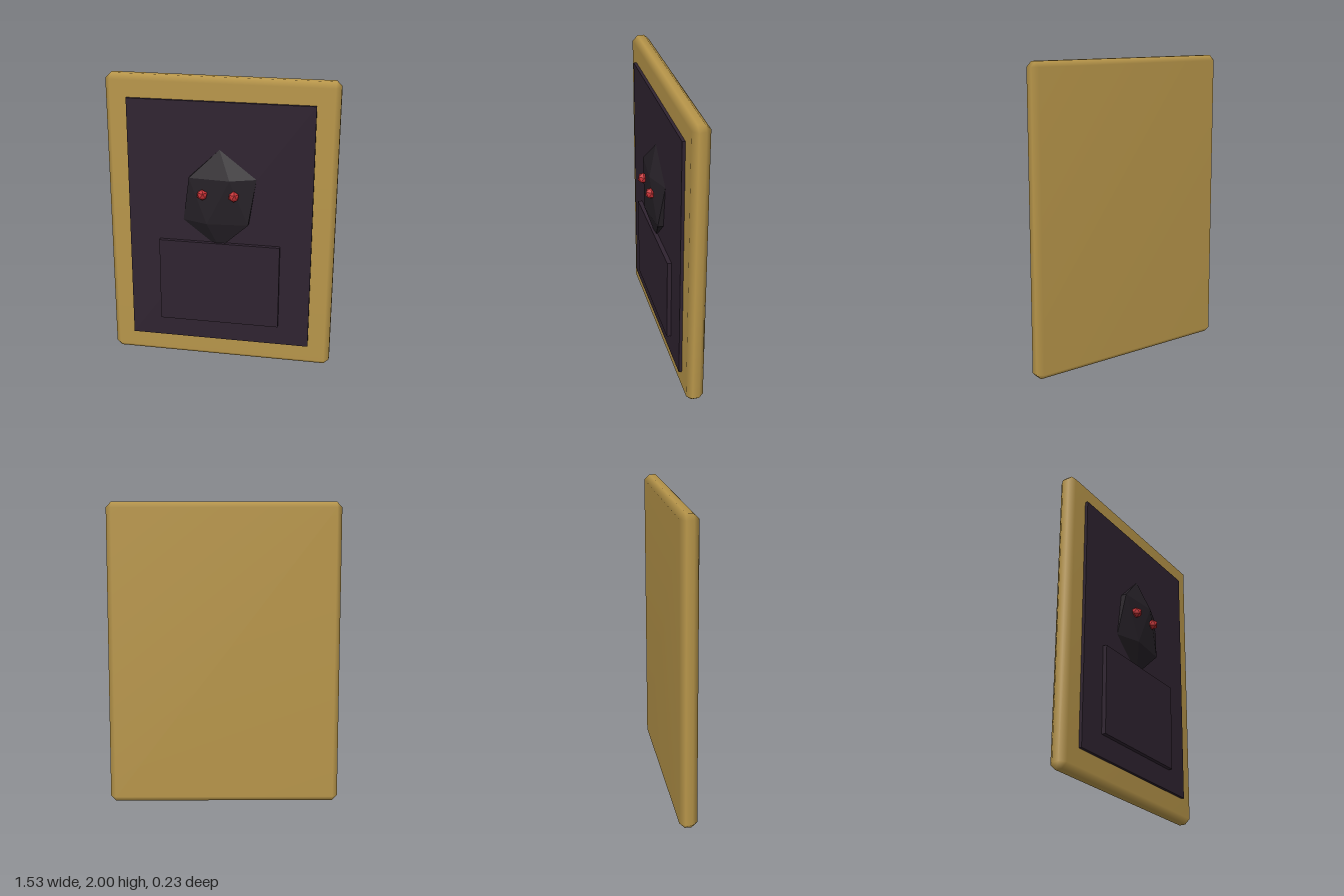
import * as THREE from 'three';
import { mergeVertices } from 'three/addons/utils/BufferGeometryUtils.js';
import { ConvexGeometry } from 'three/addons/geometries/ConvexGeometry.js';

const paint = (name, color, flatShading = false) => {
  const m = new THREE.MeshStandardMaterial({ color, flatShading });
  m.name = name;
  return m;
};

// Box with every edge cut at 45 degrees; area-weighted normals keep big faces flat
function chamferedBox(w, h, d, c) {
  const points = [];
  for (const x of [-w / 2, w / 2]) for (const y of [-h / 2, h / 2]) for (const z of [-d / 2, d / 2]) {
    const inner = [x - Math.sign(x) * c, y - Math.sign(y) * c, z - Math.sign(z) * c];
    [x, y, z].forEach((v, i) => {
      const p = [...inner];
      p[i] = v;
      points.push(new THREE.Vector3(...p));
    });
  }
  let geo = new ConvexGeometry(points);
  geo.deleteAttribute('normal');
  geo = mergeVertices(geo, 1e-5);
  geo.computeVertexNormals();
  return geo;
}

// Twenty-sided ball standing on a pole, with two staggered rings of five
function facetedBall(rx, ry, rz) {
  const points = [new THREE.Vector3(0, ry, 0), new THREE.Vector3(0, -ry, 0)];
  for (let i = 0; i < 5; i++) {
    const a = (i / 5) * Math.PI * 2;
    const x = Math.cos(a) * 0.894, z = Math.sin(a) * 0.894;
    points.push(new THREE.Vector3(x * rx, 0.447 * ry, z * rz));
    points.push(new THREE.Vector3(-x * rx, -0.447 * ry, -z * rz));
  }
  return new ConvexGeometry(points);
}

export function createModel() {
  const group = new THREE.Group();
  group.name = 'framedPortrait';
  const gold = paint('gold', 0xb8964a);
  const canvasPaint = paint('darkPlum', 0x2f2330);
  const shadow = paint('nearBlack', 0x252026, true);
  const red = paint('red', 0xc43034, true);

  const add = (name, geo, mat, x, y, z) => {
    const mesh = new THREE.Mesh(geo, mat);
    mesh.name = name;
    mesh.position.set(x, y, z);
    group.add(mesh);
  };

  // Frame board and painted panel
  add('frame', chamferedBox(1.53, 2, 0.115, 0.035), gold, 0, 1, -0.0575);
  add('canvas', new THREE.BoxGeometry(1.235, 1.7, 0.03), canvasPaint, 0, 1, 0.005);

  // Figure in relief
  add('shoulders', new THREE.BoxGeometry(0.82, 0.59, 0.04), canvasPaint, 0, 0.59, 0.028);
  add('head', facetedBall(0.274, 0.345, 0.073), shadow, 0, 1.19, 0.02);
  for (const side of [-1, 1]) {
    add(side > 0 ? 'leftEye' : 'rightEye', facetedBall(0.038, 0.038, 0.038), red, side * 0.105, 1.24, 0.082);
  }
  return group;
}
